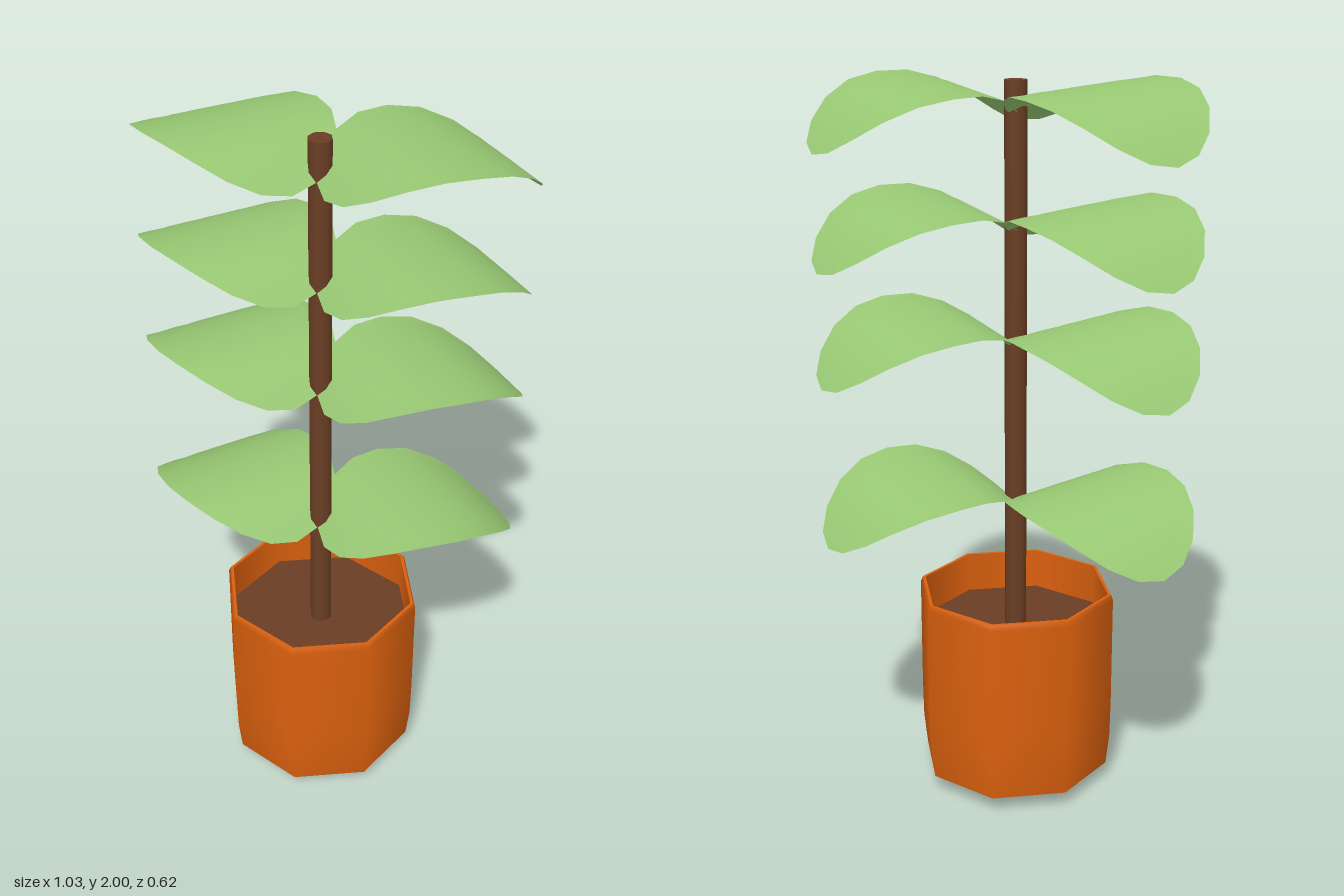
import * as THREE from 'three';
import { mergeVertices } from 'three/addons/utils/BufferGeometryUtils.js';

const AXIS_Z = 0.028; // pot and stem axis sits slightly forward

const potMaterial = new THREE.MeshStandardMaterial({ color: 0xda600e });
potMaterial.name = 'terracotta orange';
const brownMaterial = new THREE.MeshStandardMaterial({ color: 0x6a3e24 });
brownMaterial.name = 'earth brown';
const leafMaterial = new THREE.MeshStandardMaterial({ color: 0x98c873, side: THREE.DoubleSide });
leafMaterial.name = 'leaf green';

function part(name, geometry, material, y = 0) {
  const mesh = new THREE.Mesh(geometry, material);
  mesh.name = name;
  mesh.position.set(0, y, AXIS_Z);
  return mesh;
}

// Eight-sided turned surface from [radius, height] pairs
function turned(profile) {
  return new THREE.LatheGeometry(profile.map(([r, y]) => new THREE.Vector2(r, y)), 8);
}

// Oval disc set diagonally, arched so both tips droop; side is +1 or -1
function leafGeometry(side) {
  const g = new THREE.RingGeometry(0, 1, 20, 8);
  const p = g.attributes.position;
  const c = 0.76, s = 0.65;
  for (let i = 0; i < p.count; i++) {
    const u = 0.278 * p.getX(i);
    const v = -side * 0.245 * p.getY(i);
    const droop = 0.13 * Math.pow(Math.abs(u) / 0.278, 2.4);
    p.setXYZ(i,
      side * (0.25 + c * u + s * v),
      -0.016 - droop - 0.108 * u + 0.06 * v,
      -0.057 - s * u + c * v);
  }
  g.deleteAttribute('normal');
  g.deleteAttribute('uv');
  const merged = mergeVertices(g, 1e-5);
  merged.computeVertexNormals();
  return merged;
}

export function createModel() {
  const model = new THREE.Group();
  model.name = 'pottedPlant';

  // Pot: rounded base and wall, rim, inner wall
  const pot = new THREE.Group();
  pot.name = 'pot';
  pot.add(
    part('potBase', turned([[0, 0], [0.2, 0.012], [0.27, 0.05]]), potMaterial),
    part('potWall', turned([[0.27, 0.05], [0.28, 0.14], [0.282, 0.25], [0.282, 0.57], [0.276, 0.585]]), potMaterial),
    part('potRim', turned([[0.276, 0.585], [0.267, 0.585]]), potMaterial),
    part('potInnerWall', turned([[0.267, 0.585], [0.267, 0.46]]), potMaterial),
  );
  model.add(pot);

  // Soil and stem
  model.add(part('soil', turned([[0.267, 0.47], [0, 0.47]]), brownMaterial));
  model.add(part('stem', new THREE.CylinderGeometry(0.031, 0.031, 1.535, 8), brownMaterial, 1.2275));

  // Four pairs of mirrored leaves
  const left = leafGeometry(1), right = leafGeometry(-1);
  [0.935, 1.385, 1.695, 2.0].forEach((top, i) => {
    const pair = new THREE.Group();
    pair.name = `leafPair${i + 1}`;
    for (const [name, geometry] of [['leftLeaf', left], ['rightLeaf', right]]) {
      const leaf = new THREE.Mesh(geometry, leafMaterial);
      leaf.name = name;
      pair.add(leaf);
    }
    pair.position.y = top;
    model.add(pair);
  });

  return model;
}
